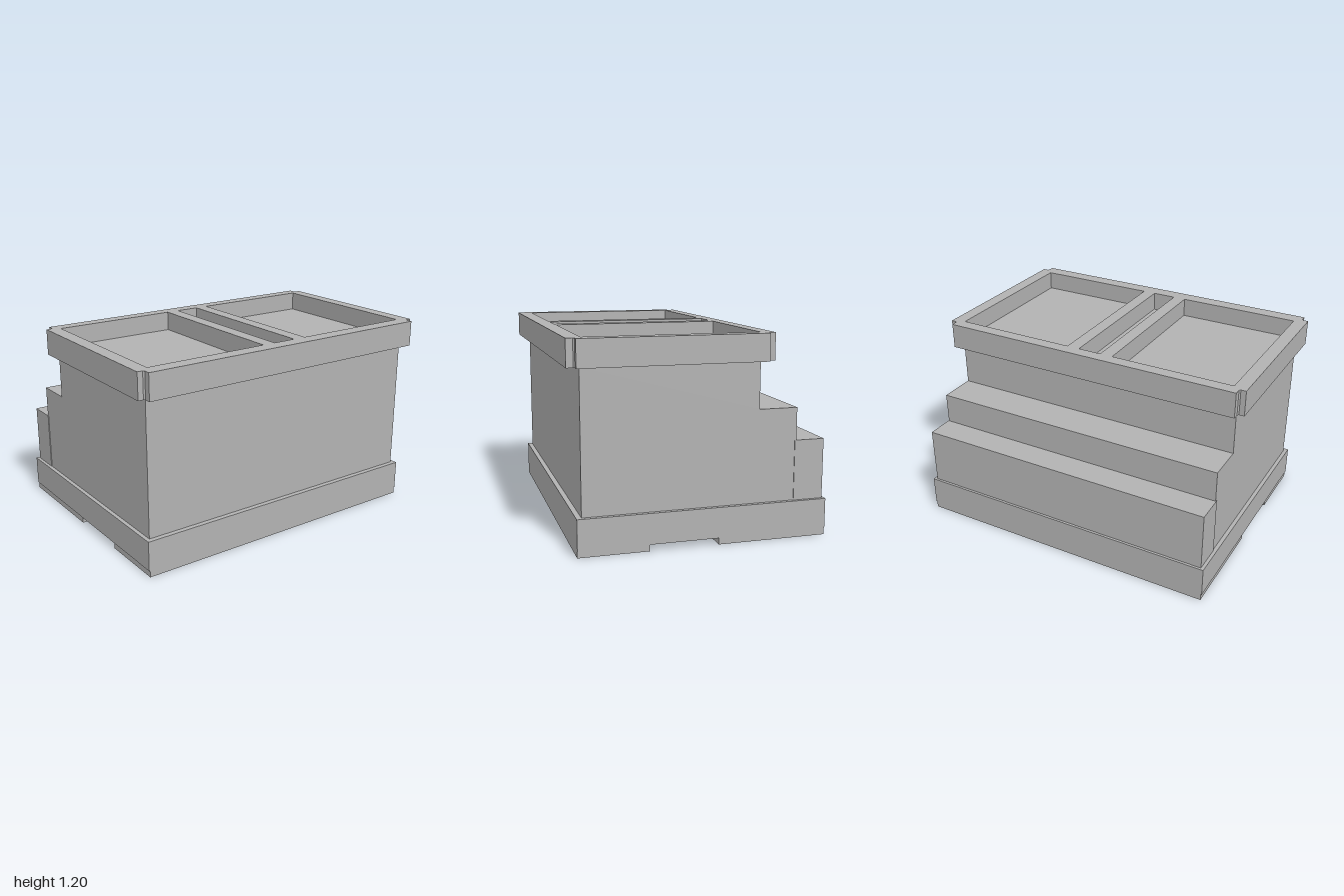
import * as THREE from 'three';

export function createModel() {
  const group = new THREE.Group();
  const grey = new THREE.MeshStandardMaterial({ color: 0xb2b2b2 });
  grey.name = 'light grey';

  const add = (name, geometry) => {
    const mesh = new THREE.Mesh(geometry, grey);
    mesh.name = name;
    group.add(mesh);
  };
  const toShape = (points) => new THREE.Shape(points.map(([a, b]) => new THREE.Vector2(a, b)));

  // Side profile given as [z, y], extruded across x
  const across = (points, halfWidth) =>
    new THREE.ExtrudeGeometry(toShape(points), { depth: halfWidth * 2, bevelEnabled: false })
      .translate(0, 0, -halfWidth)
      .rotateY(-Math.PI / 2);

  // Plan outline given as [x, -z], extruded upwards between two heights
  const upward = (shape, y0, y1) =>
    new THREE.ExtrudeGeometry(shape, { depth: y1 - y0, bevelEnabled: false })
      .rotateX(-Math.PI / 2)
      .translate(0, y0, 0);

  // Base plinth and the two feet separated by a shallow channel
  add('basePlinth', across([[-0.755, 0.04], [0.715, 0.04], [0.715, 0.22], [-0.755, 0.22]], 0.966));
  for (const [name, z0, z1] of [['frontFoot', 0.305, 0.715], ['backFoot', -0.755, -0.1]]) {
    add(name, across([[z0, 0], [z1, 0], [z1, 0.04], [z0, 0.04]], 0.96));
  }

  // Main body with the upper step behind it
  add('body', across([
    [-0.57, 0.22], [0.685, 0.22], [0.685, 1.04], [-0.34, 1.04], [-0.34, 0.765], [-0.57, 0.765],
  ], 0.942));

  // Lower step, a touch wider than the body
  add('lowerStep', across([[-0.74, 0.22], [-0.56, 0.22], [-0.56, 0.575], [-0.74, 0.575]], 0.946));

  // Rim outline with notched corners, mirrored to all four quarters
  const midZ = 0.17;
  const corner = [[1, 0.541], [0.968, 0.541], [0.96, 0.549], [0.96, 0.588]];
  const back = [...corner, ...corner.map(([x, d]) => [-x, d]).reverse()];
  const outline = [...back, ...back.map(([x, d]) => [-x, -d])].map(([x, d]) => [x, d - midZ]);

  // Solid floor of the wells
  add('trayFloor', upward(toShape(outline), 1.04, 1.08));

  // Rim with two large wells and a narrow centre slot
  const rim = toShape(outline);
  for (const [x0, x1] of [[-0.918, -0.153], [-0.073, 0.073], [0.153, 0.918]]) {
    rim.holes.push(new THREE.Path([
      [x0, -0.67], [x0, 0.342], [x1, 0.342], [x1, -0.67],
    ].map(([x, y]) => new THREE.Vector2(x, y))));
  }
  add('trayRim', upward(rim, 1.08, 1.197));

  return group;
}
